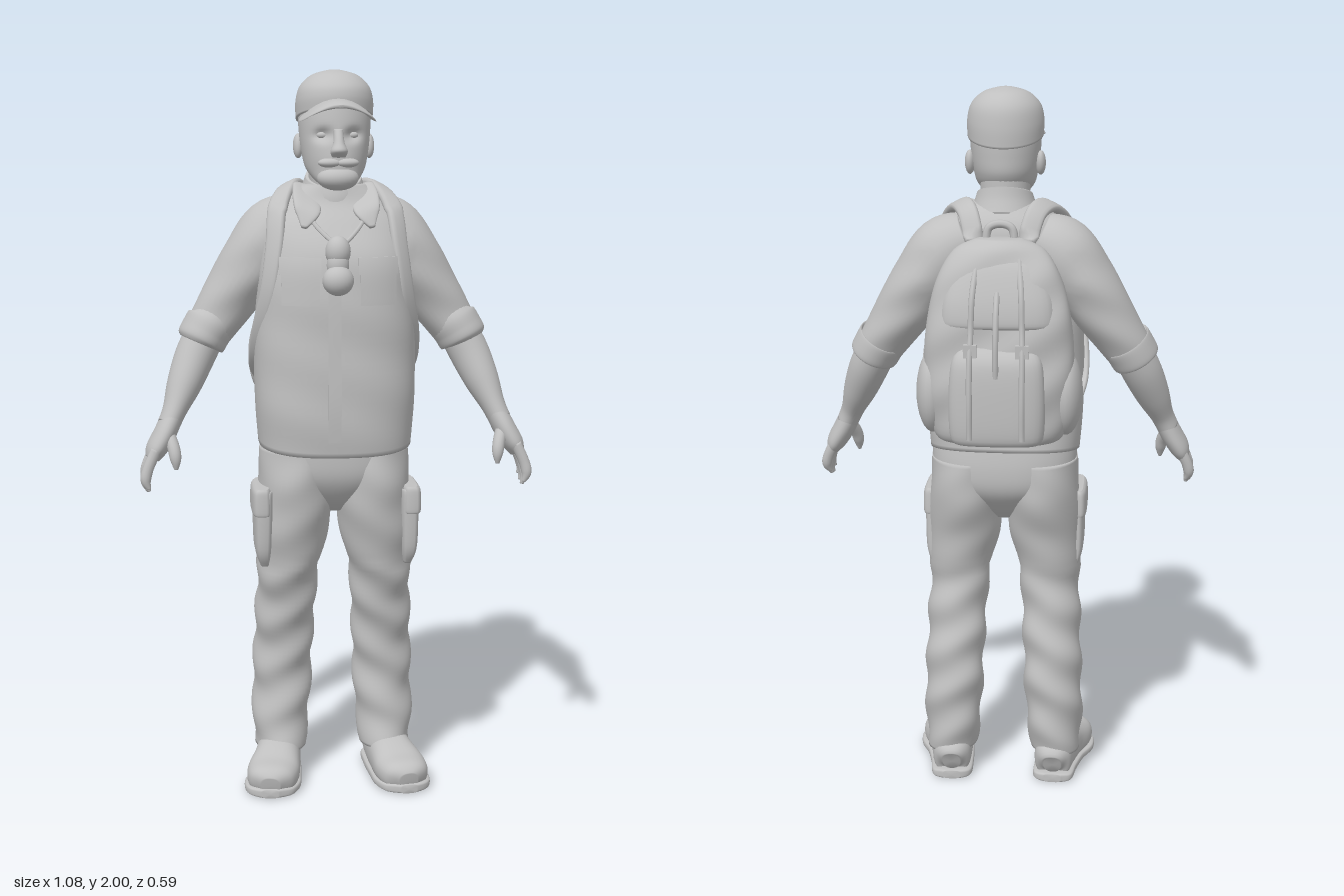
import * as THREE from 'three';

const grey = new THREE.MeshStandardMaterial({ color: 0xc0c0c0 });
grey.name = 'plain grey';

// Smooth interpolation through rows of numbers, t in 0..1
function sample(rows, t) {
  const f = t * (rows.length - 1), i = Math.min(Math.floor(f), rows.length - 2), u = f - i;
  const at = k => rows[Math.max(0, Math.min(rows.length - 1, k))];
  return rows[0].map((_, k) => {
    const [a, b, c, d] = [at(i - 1)[k], at(i)[k], at(i + 1)[k], at(i + 2)[k]];
    return b + 0.5 * u * (c - a + u * (2 * a - 5 * b + 4 * c - d + u * (3 * (b - c) + d - a)));
  });
}

// Skin over cross-sections [x, y, z, radiusU, radiusV, power, tilt].
// flat: level rings; otherwise rings follow the path, with ref giving the U axis.
function loft(rows, { flat = false, ref = [1, 0, 0], n = 32, m = 6, rule } = {}) {
  rows = rows.map(r => [...r, ...[2, 0].slice(r.length - 5)]);
  const steps = (rows.length - 1) * m, pos = [], idx = [];
  const centre = t => new THREE.Vector3(...sample(rows, Math.max(0, Math.min(1, t))).slice(0, 3));
  const down = rows[rows.length - 1][1] < rows[0][1];
  const push = p => { if (rule) rule(p); pos.push(p.x, p.y, p.z); };
  for (let i = 0; i <= steps; i++) {
    const t = i / steps, s = sample(rows, t), c = centre(t);
    const T = flat ? new THREE.Vector3(0, down ? -1 : 1, 0)
      : centre(t + 0.01).sub(centre(t - 0.01)).normalize();
    const U = new THREE.Vector3(...(typeof ref === 'function' ? ref(c) : ref));
    U.addScaledVector(T, -U.dot(T)).normalize();
    const V = T.clone().cross(U);
    for (let j = 0; j < n; j++) {
      const a = j / n * Math.PI * 2, e = 2 / s[5];
      const cu = Math.sign(Math.cos(a)) * Math.abs(Math.cos(a)) ** e * Math.max(s[3], 0.001);
      const cv = Math.sign(Math.sin(a)) * Math.abs(Math.sin(a)) ** e * Math.max(s[4], 0.001);
      const p = c.clone().addScaledVector(U, cu).addScaledVector(V, cv);
      if (flat) p.y += s[6] * (p.z - c.z);
      push(p);
    }
  }
  for (let i = 0; i < steps; i++) for (let j = 0; j < n; j++) {
    const a = i * n + j, b = i * n + (j + 1) % n;
    idx.push(a, b, b + n, a, b + n, a + n);
  }
  push(centre(0)); push(centre(1));
  const c0 = (steps + 1) * n, last = steps * n;
  for (let j = 0; j < n; j++) {
    const k = (j + 1) % n;
    idx.push(c0, k, j, c0 + 1, last + j, last + k);
  }
  const g = new THREE.BufferGeometry();
  g.setAttribute('position', new THREE.Float32BufferAttribute(pos, 3));
  g.setIndex(idx);
  g.computeVertexNormals();
  return g;
}

function blob(x, y, z, rx, ry, rz, tilt = 0) {
  return new THREE.SphereGeometry(1, 24, 16).scale(rx, ry, rz).rotateX(tilt).translate(x, y, z);
}
function box(x, y, z, w, h, d) {
  return new THREE.BoxGeometry(w, h, d).translate(x, y, z);
}
function tube(points, r) {
  const curve = new THREE.CatmullRomCurve3(points.map(p => new THREE.Vector3(...p)));
  return new THREE.TubeGeometry(curve, 32, r, 8);
}
function mirror(g) {
  const h = g.clone().scale(-1, 1, 1), a = h.index.array;
  for (let i = 0; i < a.length; i += 3) [a[i], a[i + 1]] = [a[i + 1], a[i]];
  h.computeVertexNormals();
  return h;
}

// Shirt body: [x, y, z, half width, half depth, power, tilt]
const shirt = [
  [0, 0.99, 0.058, 0.212, 0.172, 2.5, -0.14], [0, 1.1, 0.066, 0.22, 0.172, 2.5, -0.06],
  [0, 1.25, 0.067, 0.222, 0.168, 2.4, 0], [0, 1.4, 0.066, 0.214, 0.165, 2.4, 0],
  [0, 1.5, 0.058, 0.207, 0.158, 2.4, 0], [0, 1.59, 0.035, 0.195, 0.133, 2.3, 0],
  [0, 1.65, 0.02, 0.15, 0.105, 2.1, 0], [0, 1.695, 0.03, 0.085, 0.08, 2, 0]];
function chestZ(x, y) {
  let lo = 0, hi = 1;
  for (let i = 0; i < 20; i++) { const t = (lo + hi) / 2; sample(shirt, t)[1] < y ? lo = t : hi = t; }
  const s = sample(shirt, lo);
  return s[2] + s[4] * Math.max(0, 1 - Math.abs(x / s[3]) ** s[5]) ** (1 / s[5]);
}
// Thin plate laid over the chest
function plate(x, y, w, h, d) {
  const g = new THREE.BoxGeometry(w, h, d, 8, 16, 1).translate(x, y, 0), p = g.attributes.position;
  for (let i = 0; i < p.count; i++) p.setZ(i, p.getZ(i) + chestZ(p.getX(i), p.getY(i)));
  g.computeVertexNormals();
  return g;
}

export function createModel() {
  const root = new THREE.Group();
  root.name = 'hiker';
  const add = (name, g) => {
    const mesh = new THREE.Mesh(g, grey);
    mesh.name = name;
    root.add(mesh);
  };
  const pair = (name, g) => { add(name + 'Left', g); add(name + 'Right', mirror(g)); };

  // Head with sunken eye sockets
  add('neck', loft([[0, 1.6, 0.035, 0.07, 0.075], [0, 1.68, 0.04, 0.068, 0.073], [0, 1.78, 0.05, 0.07, 0.08]], { flat: true }));
  add('head', loft([[0, 1.69, 0.15, 0.03, 0.035], [0, 1.705, 0.13, 0.055, 0.062], [0, 1.735, 0.09, 0.078, 0.098],
    [0, 1.77, 0.075, 0.088, 0.113], [0, 1.82, 0.068, 0.095, 0.112], [0, 1.88, 0.064, 0.098, 0.108], [0, 1.93, 0.062, 0.09, 0.1]],
    { flat: true, n: 64, m: 8, rule: p => {
      if (p.z > 0.08) p.z -= 0.02 * Math.exp(-(((Math.abs(p.x) - 0.04) / 0.022) ** 2) - ((p.y - 1.828) / 0.016) ** 2);
    } }));
  add('nose', loft([[0, 1.845, 0.17, 0.012, 0.014], [0, 1.81, 0.187, 0.015, 0.02], [0, 1.787, 0.194, 0.023, 0.025], [0, 1.77, 0.18, 0.018, 0.014]], { flat: true }));
  add('beard', blob(0, 1.715, 0.16, 0.056, 0.033, 0.042));
  pair('moustache', blob(0.022, 1.756, 0.176, 0.033, 0.013, 0.02));
  pair('eye', blob(0.04, 1.828, 0.145, 0.016, 0.01, 0.012));
  pair('ear', blob(0.097, 1.797, 0.045, 0.014, 0.034, 0.022, -0.2));

  // Cap
  add('capCrown', loft([[0, 1.872, 0.06, 0.104, 0.113, 2, 0.25], [0, 1.915, 0.06, 0.105, 0.113, 2, 0.15], [0, 1.955, 0.06, 0.094, 0.102, 2, 0.04],
    [0, 1.985, 0.06, 0.063, 0.07, 2, 0], [0, 1.998, 0.06, 0.022, 0.025, 2, 0], [0, 2, 0.06, 0.002, 0.002, 2, 0]], { flat: true, n: 48 }));
  add('capBrim', loft([[0, 1.917, 0.09, 0.1, 0.008], [0, 1.916, 0.165, 0.102, 0.008], [0, 1.912, 0.215, 0.088, 0.008],
    [0, 1.906, 0.242, 0.055, 0.007], [0, 1.904, 0.252, 0.006, 0.004]], { rule: p => { p.y -= 5 * p.x * p.x; } }));
  add('capButton', blob(0, 1.994, 0.06, 0.012, 0.006, 0.012));

  // Shirt
  add('shirtBody', loft(shirt, { flat: true, n: 64, rule: p => { p.z += 0.002 * Math.sin(p.y * 38 + p.x * 12); } }));
  add('placket', plate(-0.015, 1.28, 0.035, 0.54, 0.01));
  pair('chestPocket', plate(0.105, 1.435, 0.1, 0.11, 0.006));
  pair('pocketFlap', plate(0.105, 1.485, 0.11, 0.045, 0.014));
  add('collarBand', loft([[0, 1.645, 0.03, 0.1, 0.098, 2, -0.3], [0, 1.685, 0.036, 0.086, 0.088, 2, -0.3], [0, 1.715, 0.036, 0.076, 0.08, 2, -0.35]], { flat: true }));
  pair('collarFlap', loft([[0.088, 1.69, 0.03, 0.024, 0.008, 3], [0.082, 1.66, 0.095, 0.036, 0.009, 3],
    [0.08, 1.625, 0.148, 0.034, 0.009, 3], [0.092, 1.585, 0.172, 0.008, 0.006, 3]], { ref: [1, 0.5, -0.4] }));

  // Arms: sleeve, rolled cuff, forearm and hand
  const side = { ref: [0, 0, 1] };
  pair('sleeve', loft([[0.09, 1.595, 0, 0.085, 0.075], [0.155, 1.56, 0, 0.106, 0.098], [0.22, 1.48, 0, 0.108, 0.09],
    [0.28, 1.39, 0, 0.095, 0.08], [0.33, 1.315, 0.006, 0.083, 0.069], [0.36, 1.27, 0.015, 0.078, 0.063]],
    { ...side, rule: p => { if (p.x > 0.2) p.z += 0.003 * Math.sin(p.y * 55 + p.x * 20); } }));
  pair('sleeveCuff', loft([[0.335, 1.318, 0.006, 0.075, 0.06], [0.338, 1.312, 0.008, 0.087, 0.07], [0.354, 1.286, 0.012, 0.088, 0.07],
    [0.367, 1.262, 0.017, 0.085, 0.068], [0.37, 1.256, 0.018, 0.07, 0.055]], side));
  pair('forearm', loft([[0.35, 1.29, 0.012, 0.066, 0.055], [0.383, 1.225, 0.03, 0.065, 0.056], [0.415, 1.15, 0.062, 0.058, 0.048],
    [0.442, 1.085, 0.092, 0.047, 0.034], [0.46, 1.045, 0.105, 0.048, 0.031]], side));
  pair('palm', loft([[0.45, 1.065, 0.1, 0.045, 0.03], [0.472, 1.02, 0.112, 0.056, 0.031], [0.495, 0.98, 0.12, 0.058, 0.029], [0.507, 0.955, 0.125, 0.048, 0.02]], side));
  for (let i = 0; i < 4; i++) {
    const z = 0.082 + i * 0.027, l = [0.88, 1, 1.05, 0.95][i];
    pair('finger' + (i + 1), loft([[0.495, 0.985, z, 0.014, 0.015], [0.517, 0.985 - 0.05 * l, z + 0.004, 0.0145, 0.015],
      [0.525, 0.985 - 0.085 * l, z + 0.008, 0.0135, 0.014], [0.516, 0.985 - 0.112 * l, z + 0.012, 0.004, 0.005]], { ...side, n: 12 }));
  }
  pair('thumb', loft([[0.462, 1.03, 0.13, 0.018, 0.016], [0.448, 0.99, 0.16, 0.019, 0.017], [0.443, 0.96, 0.172, 0.016, 0.015], [0.442, 0.932, 0.176, 0.004, 0.005]], { ...side, n: 16 }));

  // Trousers with soft folds
  add('trouserSeat', loft([[0, 1.05, 0.045, 0.2, 0.14, 2.4], [0, 0.96, 0.04, 0.206, 0.15, 2.4], [0, 0.89, 0.04, 0.195, 0.142, 2.3],
    [0, 0.83, 0.045, 0.14, 0.1, 2], [0, 0.79, 0.045, 0.05, 0.05, 2]], { flat: true, n: 48 }));
  pair('trouserLeg', loft([[0.106, 0.97, 0.04, 0.1, 0.142], [0.108, 0.87, 0.042, 0.106, 0.15], [0.117, 0.75, 0.05, 0.104, 0.126],
    [0.13, 0.62, 0.043, 0.086, 0.102], [0.136, 0.51, 0.022, 0.084, 0.093], [0.141, 0.4, 0.002, 0.083, 0.089],
    [0.145, 0.29, -0.007, 0.083, 0.088], [0.149, 0.18, -0.002, 0.08, 0.091], [0.153, 0.085, 0.007, 0.072, 0.097]],
    { flat: true, n: 40, m: 8, rule: p => {
      const k = p.y < 0.65 ? 0.0045 : 0.002;
      p.z += k * Math.sin(p.y * 48 + p.x * 25); p.x += k * Math.sin(p.y * 40 + p.z * 22);
    } }));
  pair('cargoPocket', loft([[0.2, 0.86, 0.085, 0.02, 0.075, 4], [0.202, 0.845, 0.085, 0.026, 0.088, 4], [0.204, 0.7, 0.08, 0.023, 0.085, 4], [0.2, 0.645, 0.07, 0.012, 0.07, 4]], { flat: true }));
  pair('cargoFlap', loft([[0.206, 0.87, 0.087, 0.018, 0.084, 4], [0.208, 0.855, 0.087, 0.026, 0.09, 4], [0.208, 0.8, 0.086, 0.027, 0.092, 4], [0.207, 0.795, 0.086, 0.02, 0.085, 4]], { flat: true }));

  // Shoes
  pair('shoe', loft([[0.148, 0.055, -0.084, 0.025, 0.03, 2.4], [0.149, 0.062, -0.065, 0.052, 0.058, 2.4], [0.154, 0.066, 0.0, 0.06, 0.066, 2.4],
    [0.165, 0.058, 0.08, 0.066, 0.062, 2.4], [0.181, 0.047, 0.15, 0.074, 0.048, 2.4], [0.191, 0.042, 0.205, 0.062, 0.042, 2.4],
    [0.195, 0.036, 0.23, 0.026, 0.024, 2.4]], { rule: p => { p.y = Math.max(p.y, 0.008); } }));
  pair('shoeSole', loft([[0.148, 0.014, -0.089, 0.024, 0.012, 4], [0.149, 0.014, -0.07, 0.056, 0.014, 4], [0.154, 0.014, 0, 0.063, 0.014, 4],
    [0.166, 0.014, 0.08, 0.07, 0.014, 4], [0.183, 0.014, 0.15, 0.08, 0.014, 4], [0.193, 0.014, 0.21, 0.064, 0.014, 4], [0.196, 0.014, 0.236, 0.022, 0.012, 4]]));

  // Backpack
  add('packBody', loft([[0, 1.065, -0.15, 0.13, 0.06, 2.6], [0, 1.085, -0.15, 0.175, 0.095, 2.6], [0, 1.18, -0.155, 0.198, 0.108, 2.6],
    [0, 1.3, -0.158, 0.203, 0.1, 2.6], [0, 1.42, -0.16, 0.192, 0.088, 2.5], [0, 1.52, -0.154, 0.165, 0.07, 2.4],
    [0, 1.59, -0.145, 0.122, 0.052, 2.2], [0, 1.62, -0.14, 0.06, 0.028, 2]],
    { flat: true, n: 56, rule: p => { p.z += 0.004 * Math.sin(p.y * 42 + p.x * 24); } }));
  add('packFrontPocket', loft([[0, 1.075, -0.23, 0.1, 0.03, 3], [0, 1.095, -0.235, 0.125, 0.052, 3], [0, 1.2, -0.238, 0.13, 0.053, 3],
    [0, 1.3, -0.232, 0.123, 0.05, 3], [0, 1.345, -0.222, 0.1, 0.03, 3]], { flat: true }));
  add('packLid', loft([[0, 1.39, -0.19, 0.145, 0.05, 3], [0, 1.405, -0.19, 0.155, 0.066, 3], [0, 1.47, -0.18, 0.148, 0.066, 3],
    [0, 1.55, -0.165, 0.118, 0.05, 2.6], [0, 1.595, -0.15, 0.08, 0.03, 2.2]], { flat: true }));
  pair('packSidePocket', blob(0.182, 1.2, -0.15, 0.045, 0.115, 0.078));
  pair('packStrap', tube([[0.055, 1.58, -0.185], [0.065, 1.48, -0.245], [0.068, 1.39, -0.258], [0.07, 1.31, -0.28], [0.07, 1.2, -0.291], [0.07, 1.1, -0.285]], 0.008));
  pair('packBuckle', box(0.069, 1.34, -0.27, 0.035, 0.035, 0.016));
  add('packPullLoop', tube([[0, 1.49, -0.235], [0, 1.44, -0.268], [0, 1.37, -0.285], [0, 1.31, -0.286], [0, 1.27, -0.282]], 0.008));
  add('packHandle', tube([[-0.04, 1.6, -0.125], [-0.03, 1.645, -0.122], [0, 1.655, -0.12], [0.03, 1.645, -0.122], [0.04, 1.6, -0.125]], 0.011));
  pair('shoulderStrap', loft([[0.07, 1.6, -0.11, 0.028, 0.012, 3], [0.092, 1.675, -0.065, 0.028, 0.012, 3], [0.125, 1.685, 0.02, 0.028, 0.012, 3],
    [0.158, 1.63, 0.1, 0.028, 0.012, 3], [0.17, 1.53, 0.148, 0.027, 0.012, 3], [0.188, 1.41, 0.155, 0.025, 0.011, 3],
    [0.214, 1.29, 0.105, 0.02, 0.01, 3], [0.222, 1.2, 0.03, 0.014, 0.008, 3], [0.205, 1.15, -0.07, 0.012, 0.008, 3]],
    { n: 16, ref: c => c.y > 1.62 ? [1, -0.5, 0] : [1, 0, -0.9] }));

  // Binoculars hanging on a neck cord
  add('binocularBody', blob(-0.006, 1.525, 0.225, 0.034, 0.042, 0.036));
  add('binocularBarrel', blob(-0.008, 1.45, 0.25, 0.042, 0.04, 0.038));
  add('binocularHinge', blob(-0.007, 1.49, 0.232, 0.03, 0.04, 0.03));
  pair('neckCord', tube([[0.098, 1.66, 0.06], [0.092, 1.64, 0.125], [0.06, 1.59, 0.172], [0.025, 1.555, 0.208], [0.005, 1.54, 0.22]], 0.006));
  return root;
}
